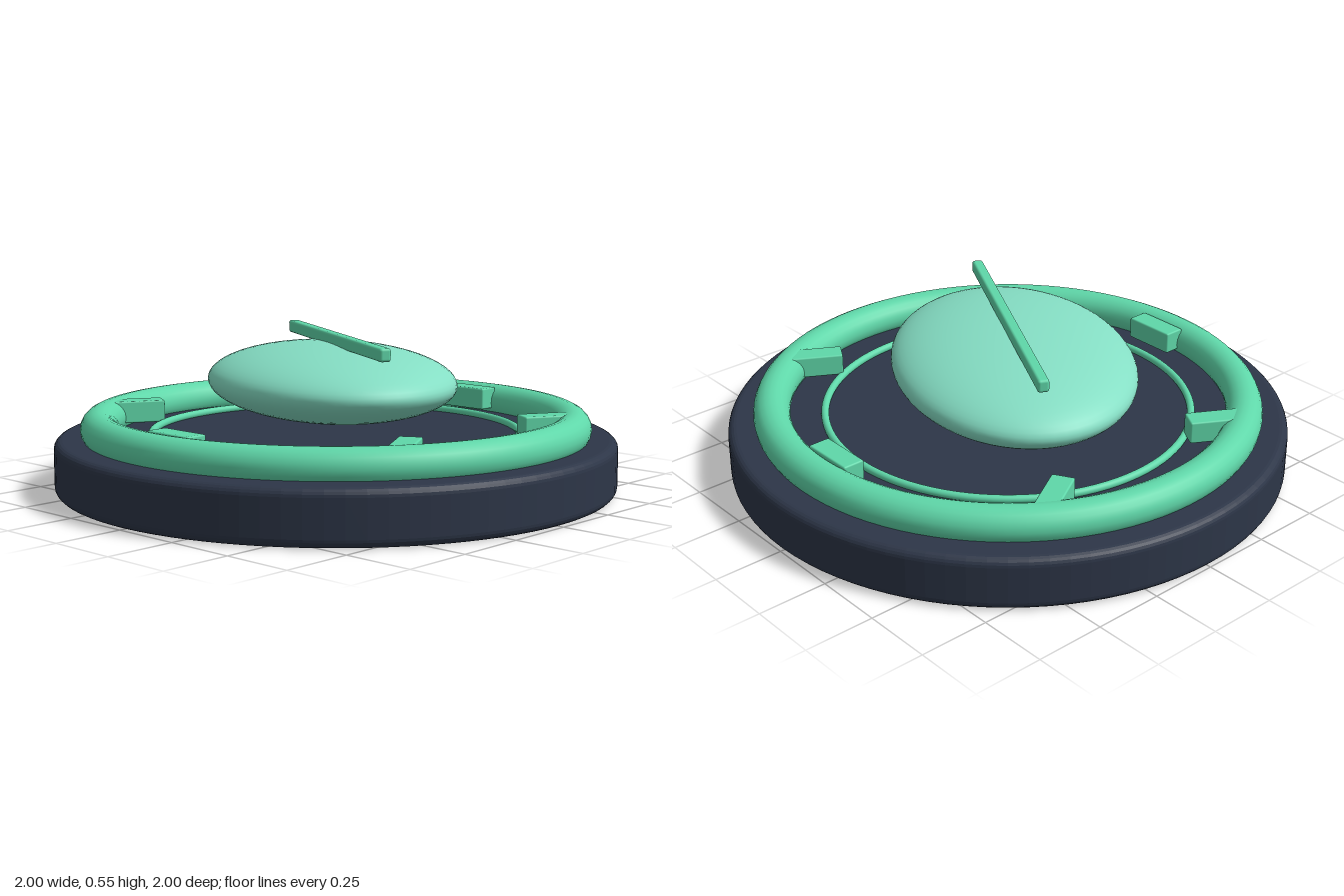
import * as THREE from 'three';
import { RoundedBoxGeometry } from 'three/addons/geometries/RoundedBoxGeometry.js';

export function createModel() {
  const model = new THREE.Group();
  const navy = new THREE.MeshStandardMaterial({ name: 'navy', color: 0x2d3648 });
  const mint = new THREE.MeshStandardMaterial({ name: 'mint', color: 0x5fd7a9 });
  const paleMint = new THREE.MeshStandardMaterial({ name: 'paleMint', color: 0x85dec4 });

  function add(name, geometry, material, x = 0, y = 0, z = 0, turn = 0) {
    const mesh = new THREE.Mesh(geometry, material);
    mesh.name = name;
    mesh.position.set(x, y, z);
    mesh.rotation.y = turn;
    model.add(mesh);
    return mesh;
  }

  // Round base: an extruded disc with softly bevelled edges
  const bevel = 0.03;
  const disc = new THREE.Shape().absarc(0, 0, 1 - bevel, 0, Math.PI * 2);
  const base = new THREE.ExtrudeGeometry(disc, {
    depth: 0.19 - 2 * bevel, bevelThickness: bevel, bevelSize: bevel,
    bevelSegments: 5, curveSegments: 48,
  });
  base.rotateX(-Math.PI / 2);
  add('base', base, navy, 0, bevel, 0);

  // Outer and inner rings
  const ring = (radius, tube) => new THREE.TorusGeometry(radius, tube, 20, 96).rotateX(Math.PI / 2);
  add('outerRing', ring(0.843, 0.065), mint, 0, 0.225, 0);
  add('innerRing', ring(0.656, 0.014), mint, 0, 0.2, 0);

  // Six blocks around the outer ring
  const block = new RoundedBoxGeometry(0.08, 0.08, 0.2, 2, 0.006);
  for (let i = 0; i < 6; i++) {
    const a = (i * Math.PI) / 3;
    add('ringBlock', block, mint, 0.757 * Math.cos(a), 0.245, 0.757 * Math.sin(a), a);
  }

  // Flattened oval leaf with a straight rib along its length
  const turn = -THREE.MathUtils.degToRad(28);
  const leaf = new THREE.SphereGeometry(1, 64, 32).scale(0.427, 0.135, 0.586);
  add('leaf', leaf, paleMint, 0, 0.38, -0.027, turn);
  add('leafRib', new RoundedBoxGeometry(0.04, 0.046, 1.02, 3, 0.01), mint, 0, 0.528, 0, turn);

  return model;
}
